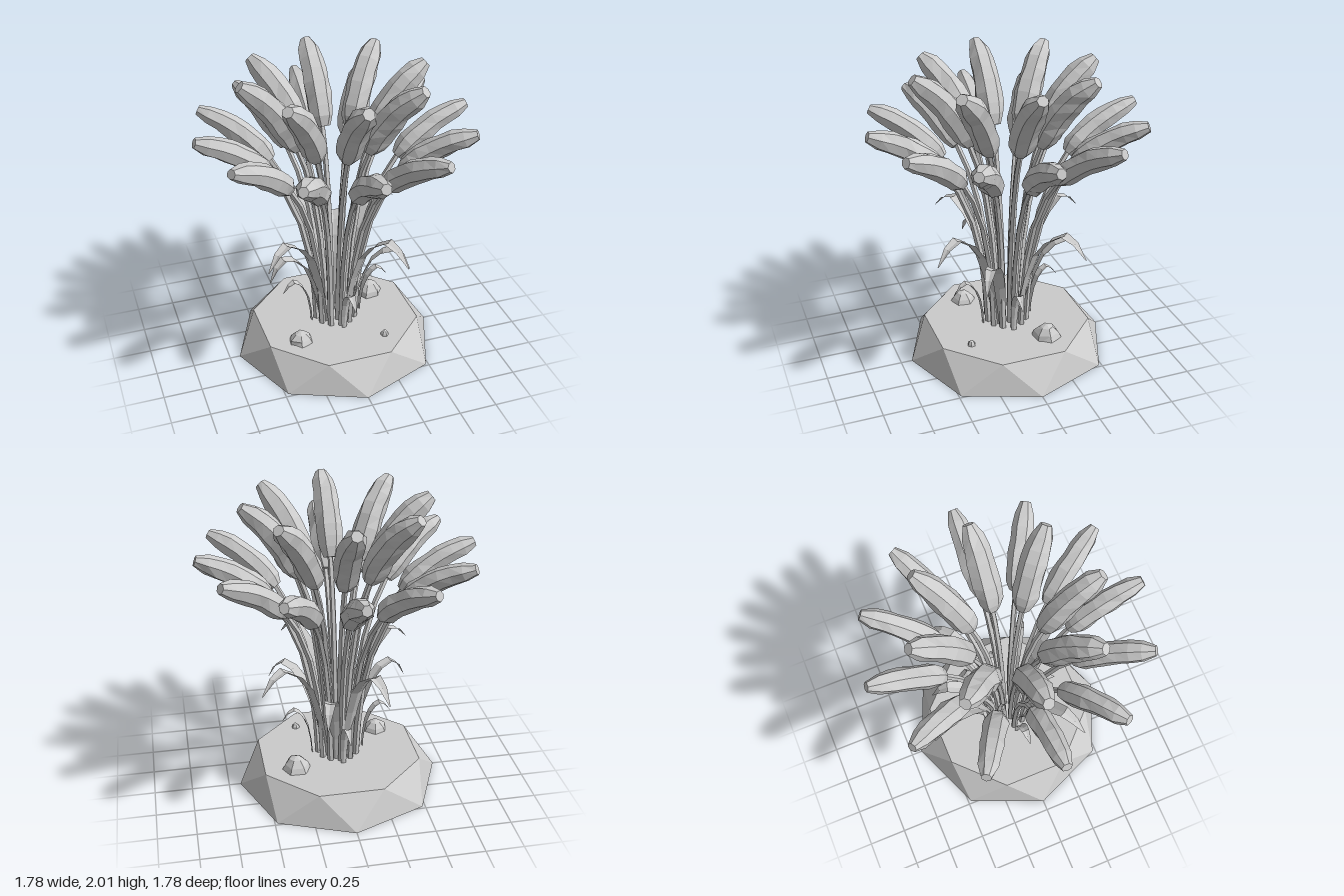
import * as THREE from 'three';

const material = new THREE.MeshStandardMaterial({ color: 0xcccccc, flatShading: true });
const leafMaterial = new THREE.MeshStandardMaterial({ color: 0xcccccc, flatShading: true, side: THREE.DoubleSide });

// Small seeded generator for the faceted unevenness
let seed = 7;
function rand() {
  seed = (seed * 16807) % 2147483647;
  return seed / 2147483647;
}

function build(positions, index) {
  const g = new THREE.BufferGeometry();
  g.setAttribute('position', new THREE.Float32BufferAttribute(positions, 3));
  g.setIndex(index);
  g.computeVertexNormals();
  return g;
}

// Unit normal of a path in the radial plane, from neighbouring points
function normalAt(pts, i) {
  const a = pts[Math.max(i - 1, 0)], b = pts[Math.min(i + 1, pts.length - 1)];
  const t = b.clone().sub(a).normalize();
  return new THREE.Vector3(t.y, -t.x, 0);
}

// Closed faceted tube along a path, with one radius per point
function loft(pts, radii, sides, { twist = 0, jitter = 0 } = {}) {
  const pos = [], index = [], last = pts.length - 1;
  pts.forEach((p, i) => {
    const n = normalAt(pts, i);
    for (let j = 0; j < sides; j++) {
      const a = (j / sides) * Math.PI * 2 + i * twist;
      const r = radii[i] * (1 + (rand() - 0.5) * 2 * jitter);
      pos.push(p.x + n.x * r * Math.cos(a), p.y + n.y * r * Math.cos(a), r * Math.sin(a));
    }
  });
  for (let i = 0; i < last; i++) {
    for (let j = 0; j < sides; j++) {
      const k = (j + 1) % sides;
      const A = i * sides + j, B = i * sides + k, C = A + sides, D = B + sides;
      index.push(A, C, B, B, C, D);
    }
  }
  // End caps
  const c0 = pos.length / 3;
  pos.push(pts[0].x, pts[0].y, 0, pts[last].x, pts[last].y, 0);
  for (let j = 0; j < sides; j++) {
    const k = (j + 1) % sides;
    index.push(c0, j, k, c0 + 1, last * sides + k, last * sides + j);
  }
  return build(pos, index);
}

// Thin blade along a path with a shallow central fold
function blade(pts, widths) {
  const pos = [], index = [];
  pts.forEach((p, i) => {
    const n = normalAt(pts, i), w = widths[i] / 2, f = w * 0.3;
    pos.push(p.x, p.y, -w, p.x + n.x * f, p.y + n.y * f, 0, p.x, p.y, w);
  });
  for (let i = 0; i < pts.length - 1; i++) {
    for (let j = 0; j < 2; j++) {
      const a = i * 3 + j;
      index.push(a, a + 3, a + 1, a + 1, a + 3, a + 4);
    }
  }
  return build(pos, index);
}

// Straight upright path through the given heights
const upright = (heights) => heights.map((y) => new THREE.Vector3(0, y, 0));

// Smooth path through [radius, height] pairs
function path(pairs, count) {
  return new THREE.CatmullRomCurve3(pairs.map(([x, y]) => new THREE.Vector3(x, y, 0))).getPoints(count);
}

function add(parent, name, geometry, degrees = 0, mat = material) {
  const mesh = new THREE.Mesh(geometry, mat);
  mesh.name = name;
  mesh.rotation.y = -THREE.MathUtils.degToRad(degrees);
  parent.add(mesh);
  return mesh;
}

// Ring of stems, each ending in a plump, blunt seed head that leans outward
function reedRing(parent, name, count, stemPath, headPath, headRadius) {
  const ring = new THREE.Group();
  ring.name = name;
  const profile = [0.55, 0.9, 1, 1, 0.98, 0.95, 0.9, 0.78, 0.42];
  for (let i = 0; i < count; i++) {
    const angle = (i / count) * 360;
    const stem = path(stemPath, 5);
    add(ring, 'stem', loft(stem, stem.map((_, k) => 0.022 - k * 0.0008), 5), angle);
    const head = path(headPath, profile.length - 1);
    add(ring, 'seedHead', loft(head, profile.map((r) => r * headRadius), 7, { jitter: 0.08 }), angle);
  }
  parent.add(ring);
}

export function createModel() {
  seed = 7;
  const model = new THREE.Group();
  model.name = 'reedClump';

  // Faceted mound of ground
  add(model, 'mound', loft(upright([0, 0.2]), [0.68, 0.56], 8, { twist: Math.PI / 8, jitter: 0.01 }));

  // Stones, half sunk in the mound
  [[0.31, -0.17, 0.1, 0.09], [-0.31, 0.21, 0.09, 0.07], [0.24, 0.33, 0.03, 0.035]].forEach(([x, z, r, h], i) => {
    const rock = upright([-0.02, h * 0.4, h * 0.85, h]);
    const stone = add(model, 'stone', loft(rock, [r, r * 0.8, r * 0.42, r * 0.1], 6, { jitter: 0.12 }), i * 40);
    stone.position.set(x, 0.2, z);
  });

  // Low outer ring and tall inner ring of reeds
  reedRing(model, 'outerReeds', 12,
    [[0.13, 0.18], [0.15, 0.5], [0.2, 0.85], [0.3, 1.16], [0.44, 1.39]],
    [[0.42, 1.36], [0.53, 1.47], [0.69, 1.58], [0.88, 1.66]], 0.077);
  reedRing(model, 'innerReeds', 8,
    [[0.06, 0.18], [0.08, 0.6], [0.12, 1.0], [0.18, 1.32], [0.26, 1.56]],
    [[0.24, 1.52], [0.32, 1.68], [0.44, 1.85], [0.59, 1.98]], 0.087);

  // Tall arching leaves, shorter ones between, and small blades at the foot
  const leaves = new THREE.Group();
  leaves.name = 'leaves';
  const leafWidths = [0.05, 0.07, 0.085, 0.095, 0.095, 0.08, 0.055, 0.006];
  const leafKinds = [
    ['tallLeaf', [-32, 62, 149, 250], 1, [[0.1, 0.2], [0.17, 0.55], [0.29, 0.85], [0.48, 0.99], [0.63, 0.86]]],
    ['shortLeaf', [34, 163, 287], 0.9, [[0.11, 0.2], [0.17, 0.5], [0.28, 0.74], [0.42, 0.8], [0.51, 0.66]]],
    ['footBlade', [3, 87, 177, 267], 0.65, [[0.17, 0.18], [0.19, 0.38], [0.24, 0.5], [0.3, 0.54], [0.37, 0.46]]],
  ];
  for (const [name, angles, scale, pairs] of leafKinds) {
    for (const angle of angles) {
      add(leaves, name, blade(path(pairs, 7), leafWidths.map((w) => w * scale)), angle, leafMaterial);
    }
  }
  model.add(leaves);
  return model;
}
